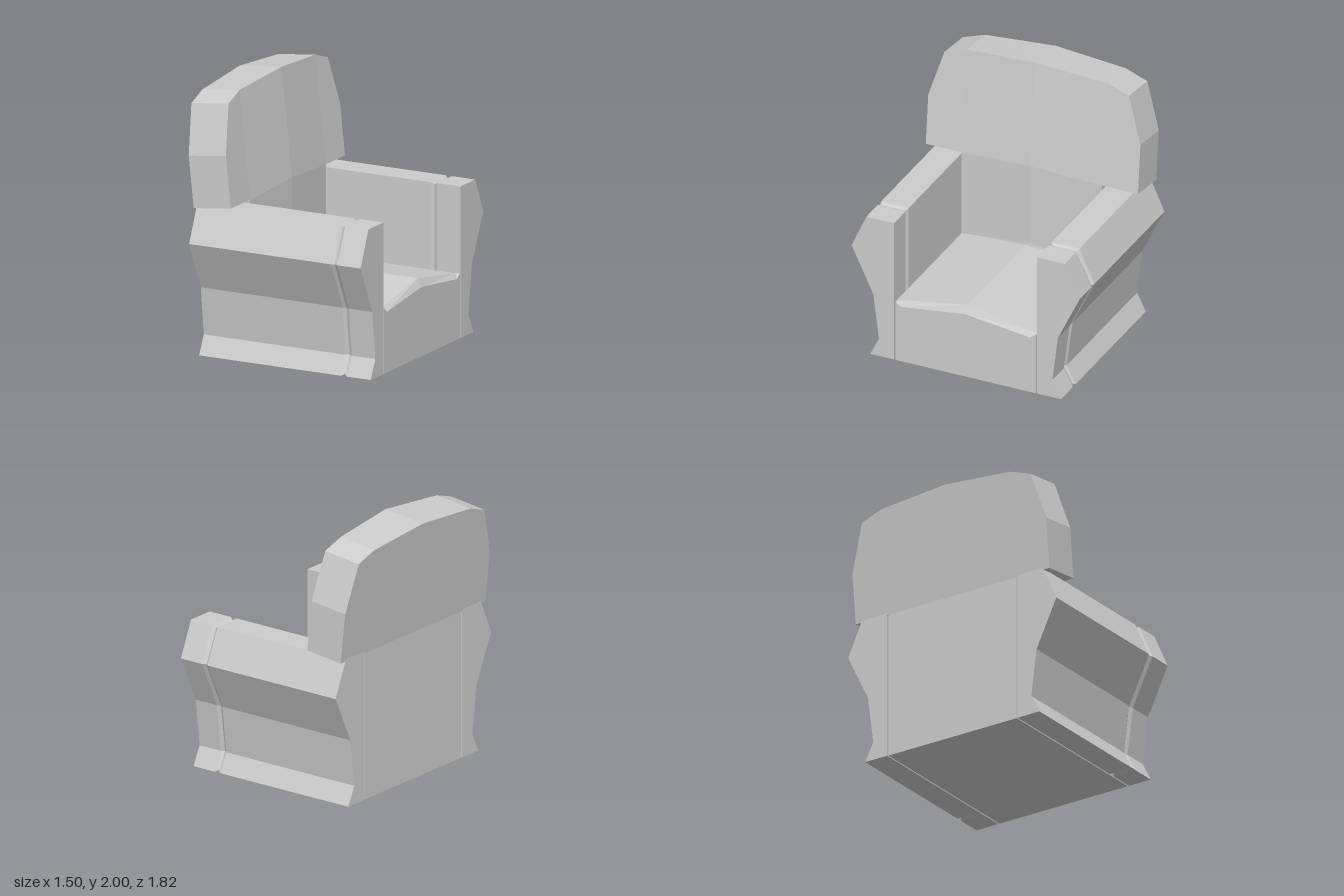
import * as THREE from 'three';

// Flat-shaded loft through matching [x, y, z] rings ordered along +axis, capped at both ends.
function loft(rings, axis) {
  const flat = p => axis === 'x' ? new THREE.Vector2(p[1], p[2]) : new THREE.Vector2(p[0], p[1]);
  if (THREE.ShapeUtils.area(rings[0].map(flat)) < 0) rings = rings.map(r => [...r].reverse());
  const pos = [];
  const tri = (a, b, c) => pos.push(...a, ...b, ...c);
  for (let k = 0; k < rings.length - 1; k++) {
    const a = rings[k], b = rings[k + 1], n = a.length;
    for (let i = 0; i < n; i++) {
      const j = (i + 1) % n;
      tri(a[i], a[j], b[j]);
      tri(a[i], b[j], b[i]);
    }
  }
  const cap = (r, flip) => THREE.ShapeUtils.triangulateShape(r.map(flat), []).forEach(([i, j, k]) =>
    flip ? tri(r[k], r[j], r[i]) : tri(r[i], r[j], r[k]));
  cap(rings[0], true);
  cap(rings[rings.length - 1], false);
  const g = new THREE.BufferGeometry();
  g.setAttribute('position', new THREE.Float32BufferAttribute(pos, 3));
  g.computeVertexNormals();
  return g;
}

export function createModel() {
  const group = new THREE.Group();
  group.name = 'armchair';
  const fabric = new THREE.MeshStandardMaterial({ color: 0xcccccc, flatShading: true });
  fabric.name = 'light grey upholstery';
  const add = (name, geometry) => {
    const mesh = new THREE.Mesh(geometry, fabric);
    mesh.name = name;
    group.add(mesh);
  };

  // Seat block: ridged top, bevelled front edge, slight dip against the back
  const seatRing = (x, edge, inner, mid, midX = x) => [
    [x, 0, -0.56], [x, 0, 0.56], [x, edge, 0.56], [x, inner, 0.515],
    [midX, mid, 0], [x, inner, -0.515], [x, edge, -0.56],
  ];
  add('seat', loft([
    seatRing(-0.36, 0.48, 0.486, 0.54),
    seatRing(-0.355, 0.48, 0.487, 0.575, -0.25),
    seatRing(0.71, 0.48, 0.487, 0.575),
    seatRing(0.745, 0.48, 0.45, 0.515),
  ], 'x'));

  // Leaning backrest: sections across its width, front bulging towards the middle
  const lean = y => -0.355 - (y - 1.15) * 0.107;
  const backRing = (z, top, bottom, bulge) => [
    [lean(top) + bulge, top, z], [lean(top) - 0.305, top - 0.035, z],
    [-0.66, 1.115, z], [lean(bottom) + bulge, bottom, z],
  ];
  const side = [[0.845, 1.535], [0.735, 1.895], [0.56, 1.955]];
  add('backrest', loft([
    ...side.map(([z, t]) => backRing(-z, t, 1.15, 0)),
    backRing(0, 2, 1.19, 0.037),
    ...side.reverse().map(([z, t]) => backRing(z, t, 1.15, 0)),
  ], 'z'));

  // Lower back between the arms
  const lowRing = (z, x, top) => [[x, top, z], [-0.66, 1.115, z], [-0.66, 0, z], [x, 0, z]];
  add('lowerBack', loft([
    lowRing(-0.56, -0.355, 1.15), lowRing(0, -0.322, 1.19), lowRing(0.56, -0.355, 1.15),
  ], 'z'));

  // Arms: waisted profile [z, y, inset z, inset y] with a seam groove near the front
  const profile = [
    [0.57, 0, 1, 1], [0.76, 0, -1, 1], [0.69, 0.14, -1, 0], [0.735, 0.5, -1, 0],
    [0.908, 0.863, -1, 0], [0.79, 1.127, -1, -1], [0.57, 1.127, 1, -1],
  ];
  const stations = [[-0.663, 0], [0.502, 0], [0.525, 0.015], [0.553, 0], [0.745, 0]];
  for (const [name, s] of [['leftArm', -1], ['rightArm', 1]]) {
    add(name, loft(stations.map(([x, d]) =>
      profile.map(([z, y, iz, iy]) => [x, y + iy * d, s * (z + iz * d)])), 'x'));
  }
  return group;
}
